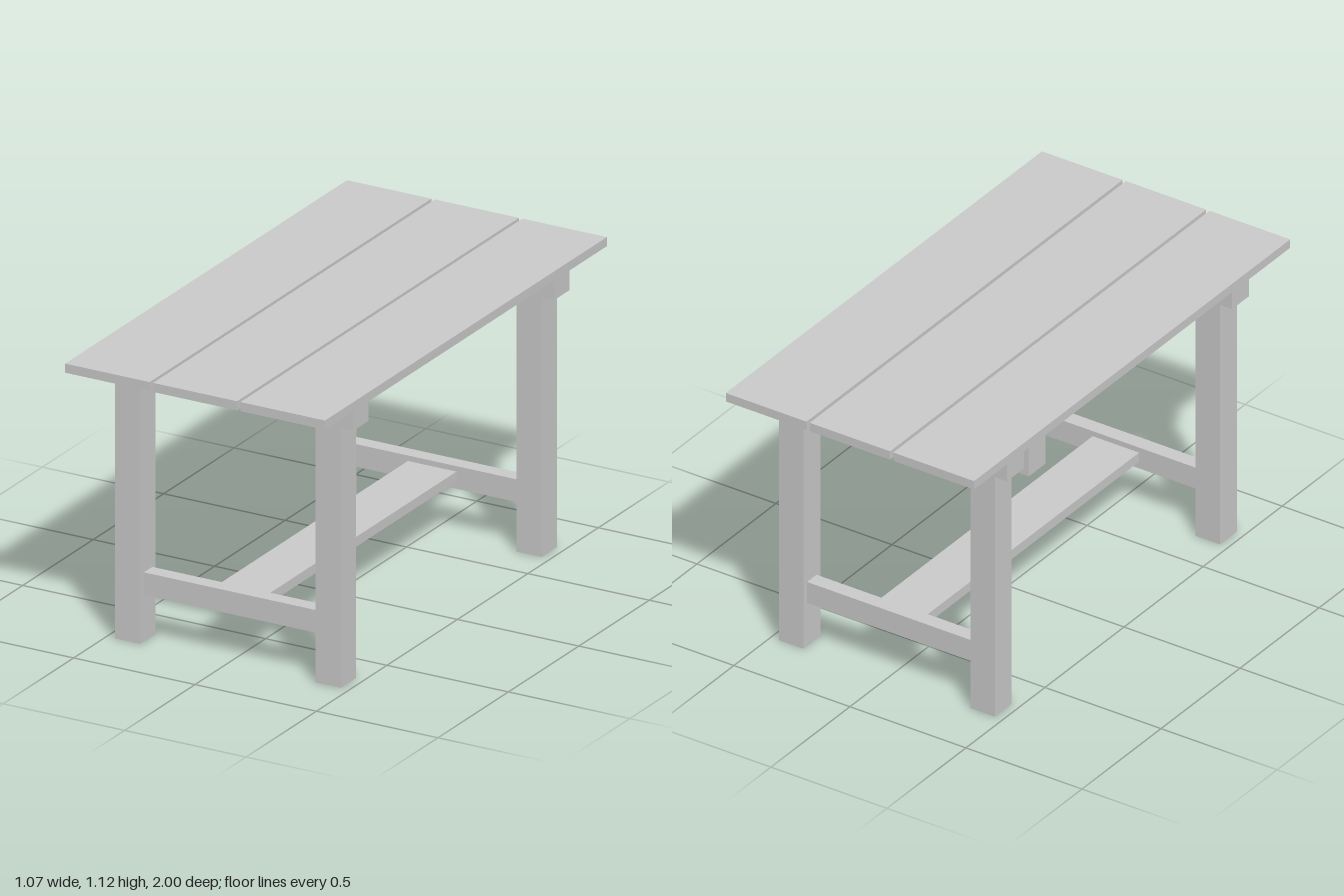
import * as THREE from 'three';

const material = new THREE.MeshStandardMaterial({ color: 0xcccccc, flatShading: true });

// Box given by its centre x and z, bottom y, and size
function box(name, x, y, z, w, h, d) {
  const mesh = new THREE.Mesh(new THREE.BoxGeometry(w, h, d), material);
  mesh.name = name;
  mesh.position.set(x, y + h / 2, z);
  return mesh;
}

// Two legs and the crossbeam joined flush, as one outline
function endFrameGeometry(depth) {
  const half = [[0.36, 1], [0.36, 0], [0.465, 0], [0.465, 1], [0.517, 1], [0.517, 1.09]];
  const mirrored = half.map(([x, y]) => [-x, y]).reverse();
  const shape = new THREE.Shape([...half, ...mirrored].map(([x, y]) => new THREE.Vector2(x, y)));
  return new THREE.ExtrudeGeometry(shape, { depth, bevelEnabled: false }).translate(0, 0, -depth / 2);
}

export function createModel() {
  const table = new THREE.Group();
  table.name = 'table';

  // Tabletop of three boards with narrow gaps
  const top = new THREE.Group();
  top.name = 'tabletop';
  for (const x of [-0.361, 0, 0.361]) {
    top.add(box('topBoard', x, 1.09, 0, x ? 0.348 : 0.346, 0.035, 2));
  }
  table.add(top);

  // End frames, each with a thinner low rail between the legs
  const frameGeometry = endFrameGeometry(0.107);
  for (const [name, z] of [['frontFrame', 0.7125], ['backFrame', -0.7125]]) {
    const frame = new THREE.Group();
    frame.name = name;
    const legs = new THREE.Mesh(frameGeometry, material);
    legs.name = 'legsAndCrossbeam';
    frame.add(legs, box('lowRail', 0, 0.18, 0, 0.72, 0.087, 0.06));
    frame.position.z = z;
    table.add(frame);
  }

  // Long flat stretcher between the low rails
  table.add(box('stretcher', 0, 0.208, 0, 0.2, 0.038, 1.365));
  return table;
}
